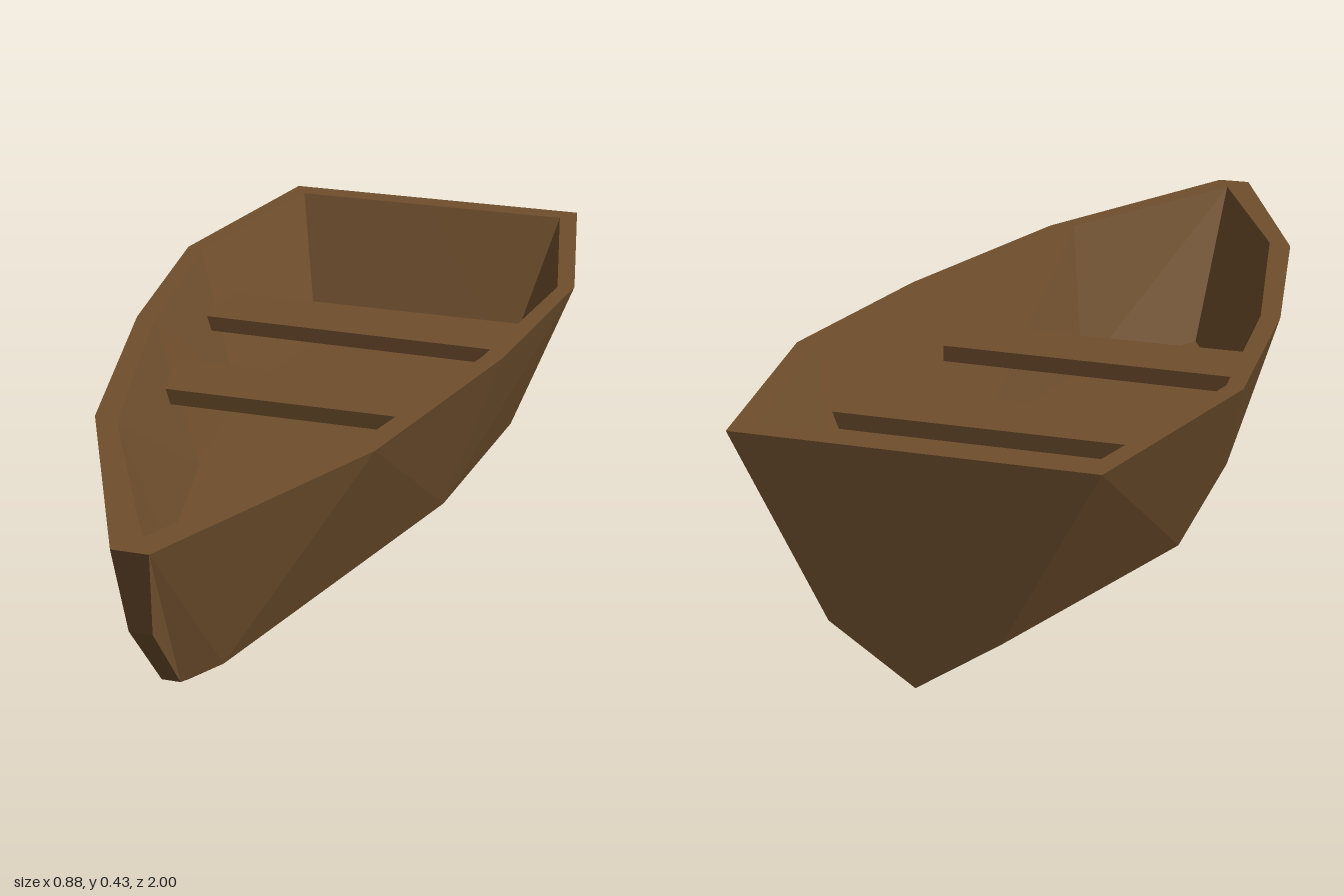
import * as THREE from 'three';

const wood = new THREE.MeshStandardMaterial({ color: 0x6f4f2d, flatShading: true });
wood.name = 'brown wood';

// Builds a mesh from polygons of the left half, mirrored across x
function mirroredMesh(name, polygons) {
  const pos = [];
  const fan = (p) => {
    for (let i = 1; i < p.length - 1; i++) {
      const [a, b, c] = [p[0], p[i], p[i + 1]].map((v) => new THREE.Vector3(...v));
      const area = b.clone().sub(a).cross(c.clone().sub(a)).length();
      if (area > 1e-7) pos.push(...p[0], ...p[i], ...p[i + 1]);
    }
  };
  for (const p of polygons) {
    fan(p);
    const m = p.map(([x, y, z]) => [-x, y, z]);
    fan([m[0], ...m.slice(1).reverse()]);
  }
  const g = new THREE.BufferGeometry();
  g.setAttribute('position', new THREE.Float32BufferAttribute(pos, 3));
  g.computeVertexNormals();
  const mesh = new THREE.Mesh(g, wood);
  mesh.name = name;
  return mesh;
}

// Quads between two rows of points
const skin = (a, b) => a.slice(1).map((p, i) => [a[i], p, b[i + 1], b[i]]);

// Flat plank with an outline in x and z
function plank(name, outline, top, thickness) {
  const shape = new THREE.Shape(outline.map(([x, z]) => new THREE.Vector2(x, z)));
  const g = new THREE.ExtrudeGeometry(shape, { depth: thickness, bevelEnabled: false });
  g.rotateX(Math.PI / 2);
  const mesh = new THREE.Mesh(g, wood);
  mesh.position.y = top;
  mesh.name = name;
  return mesh;
}

export function createModel() {
  const boat = new THREE.Group();
  boat.name = 'rowingBoat';
  const H = 0.433, F = 0.125;

  // Long lines of the left half, stern to bow
  const rim = [[0.34, H, -1], [0.44, H, -0.5], [0.39, H, -0.05], [0.275, H, 0.47], [0.035, H, 1]];
  const chine = [[0.16, 0.105, -1], [0.315, 0.107, -0.48], [0.28, 0.107, -0.03], [0.28, 0.107, -0.03], [0.068, 0.093, 0.73]];
  const keel = [[0, 0, -1], [0, 0, -0.5], [0, 0, -0.03], [0, 0.004, 0.34], [0, 0.05, 0.73]];
  const innerRim = [[0.31, H, -0.95], [0.405, H, -0.49], [0.35, H, -0.05], [0.225, H, 0.485], [0, H, 0.94]];
  const floor = [[0.23, F, -0.79], [0.302, F, -0.42], [0.25, F, -0.03], [0.17, F, 0.38], [0, F, 0.69]];
  const floorMiddle = floor.map(([, y, z]) => [0, y, z]);

  // Stem at the bow: a narrow flat strip
  const stem = [[0.035, H, 1], [0.022, 0.26, 0.96], [0.018, 0.094, 0.82]];
  const stemMiddle = stem.map(([, y, z]) => [0, y, z]);

  boat.add(
    mirroredMesh('hullSides', [
      ...skin(rim, chine),
      [rim[4], stem[1], stem[2], chine[4]],
    ]),
    mirroredMesh('hullBottom', [
      ...skin(chine, keel),
      [chine[4], stem[2], keel[4]],
    ]),
    mirroredMesh('stem', [
      ...skin(stemMiddle, stem),
      [stemMiddle[2], keel[4], stem[2]],
    ]),
    mirroredMesh('transom', [
      [[0, H, -1], rim[0], chine[0], keel[0]],
    ]),
    mirroredMesh('gunwale', [
      ...skin(innerRim, rim),
      [[0, H, -1], [0, H, -0.95], innerRim[0], rim[0]],
      [innerRim[4], [0, H, 1], rim[4]],
    ]),
    mirroredMesh('innerWalls', [
      ...skin(floor, innerRim),
      [[0, H, -0.95], floorMiddle[0], floor[0], innerRim[0]],
    ]),
    mirroredMesh('floor', skin(floorMiddle, floor)),
  );

  // Bench planks with slightly uneven ends
  boat.add(
    plank('rearBench', [
      [-0.34, -0.545], [0.352, -0.545], [0.36, -0.46], [0.345, -0.375], [-0.358, -0.385], [-0.363, -0.45],
    ], 0.318, 0.033),
    plank('frontBench', [
      [-0.32, -0.115], [0.302, -0.105], [0.315, -0.07], [0.295, 0.05], [-0.3, 0.05],
    ], 0.322, 0.033),
  );
  return boat;
}
